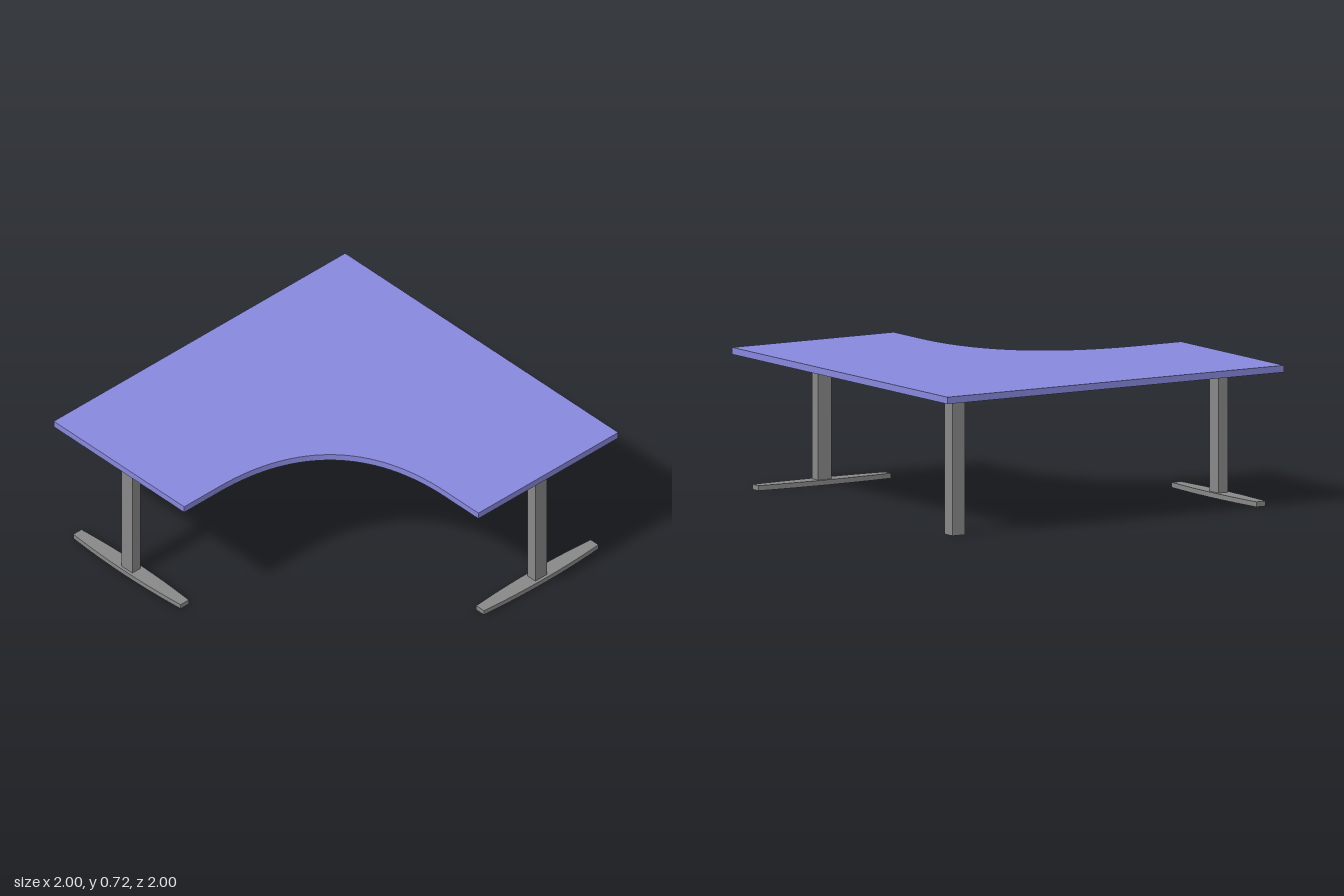
import * as THREE from 'three';

const topMaterial = new THREE.MeshStandardMaterial({ color: 0x8888dd });
const legMaterial = new THREE.MeshStandardMaterial({ color: 0x888888 });

const UNDERSIDE = 0.685, THICKNESS = 0.035;

function part(name, geometry, material, x = 0, y = 0, z = 0) {
  const mesh = new THREE.Mesh(geometry, material);
  mesh.name = name;
  mesh.position.set(x, y, z);
  return mesh;
}

// Extrudes a plan drawn in (x, z) upwards from y = 0
function slab(shape, height) {
  return new THREE.ExtrudeGeometry(shape, { depth: height, bevelEnabled: false, curveSegments: 32 })
    .rotateX(Math.PI / 2).translate(0, height, 0);
}

// Corner worktop with a swept inner edge
function createTop() {
  const s = new THREE.Shape();
  s.moveTo(-1, -1);
  s.lineTo(1, -1);
  s.lineTo(1, 1);
  s.lineTo(0.04, 1);
  s.lineTo(0.04, 0.75);
  s.bezierCurveTo(0.04, 0.234, -0.234, -0.045, -0.75, -0.045);
  s.lineTo(-1, -0.045);
  s.closePath();
  return part('tabletop', slab(s, THICKNESS), topMaterial, 0, UNDERSIDE, 0);
}

// T-shaped leg running along local x
function createLeg(name) {
  const leg = new THREE.Group();
  leg.name = name;

  // Foot bowed on both long sides
  const f = new THREE.Shape();
  f.moveTo(-0.393, -0.028);
  f.quadraticCurveTo(0, -0.062, 0.393, -0.028);
  f.lineTo(0.393, 0.028);
  f.quadraticCurveTo(0, 0.062, -0.393, 0.028);
  f.closePath();
  leg.add(part('foot', slab(f, 0.026), legMaterial));

  leg.add(part('post', new THREE.BoxGeometry(0.08, UNDERSIDE, 0.057), legMaterial, 0, UNDERSIDE / 2, 0));

  // Support arm with a curved lower edge
  const a = new THREE.Shape();
  a.moveTo(-0.388, 0);
  a.lineTo(-0.388, -0.013);
  a.quadraticCurveTo(0, -0.067, 0.388, -0.013);
  a.lineTo(0.388, 0);
  a.closePath();
  const arm = new THREE.ExtrudeGeometry(a, { depth: 0.04, bevelEnabled: false, curveSegments: 24 });
  leg.add(part('supportArm', arm.translate(0, 0, -0.02), legMaterial, 0, UNDERSIDE, 0));
  return leg;
}

export function createModel() {
  const desk = new THREE.Group();
  desk.name = 'cornerDesk';
  desk.add(createTop());

  const frontLeg = createLeg('frontLeg');
  frontLeg.position.set(0.518, 0, 0.9215);
  const sideLeg = createLeg('sideLeg');
  sideLeg.position.set(-0.9215, 0, -0.518);
  sideLeg.rotation.y = Math.PI / 2;
  desk.add(frontLeg, sideLeg);

  // Square post under the back corner
  desk.add(part('cornerPost', new THREE.BoxGeometry(0.075, UNDERSIDE, 0.075), legMaterial, 0.878, UNDERSIDE / 2, -0.878));
  return desk;
}
